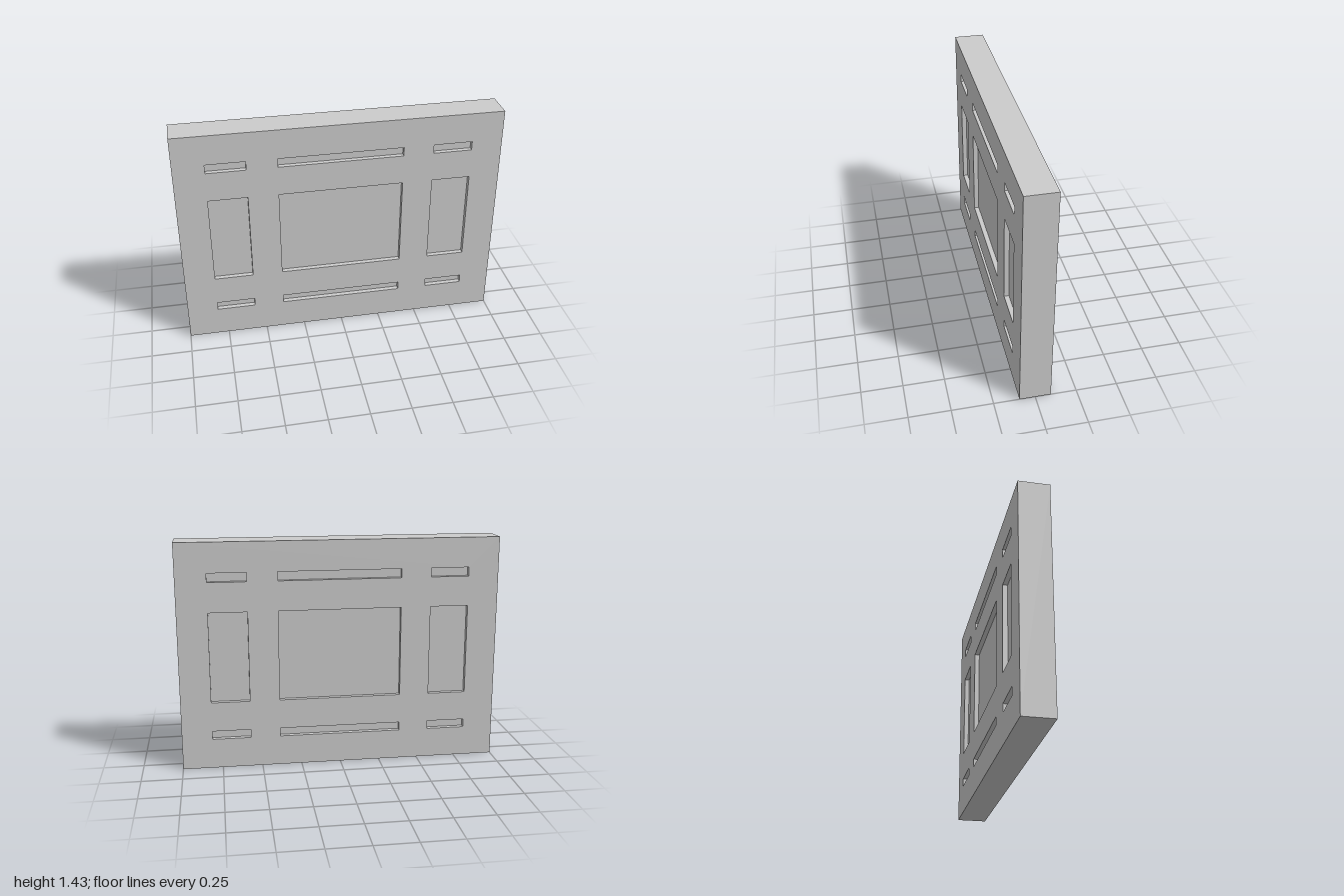
import * as THREE from 'three';

const W = 2, H = 1.43, T = 0.19; // slab size
const DEPTH = 0.03;              // recess depth on each face

// Recess columns [x0, x1] and rows [y0, y1]
const COLUMNS = [[-0.81, -0.57], [-0.383, 0.383], [0.57, 0.81]];
const ROWS = [
  { name: 'LowerSlot', y: [0.19, 0.243] },
  { name: 'Panel', y: [0.43, 1.0] },
  { name: 'UpperSlot', y: [1.187, 1.243] },
];
const COLUMN_NAMES = ['right', 'centre', 'left'];

function trace(path, x0, y0, x1, y1) {
  path.moveTo(x0, y0);
  path.lineTo(x1, y0);
  path.lineTo(x1, y1);
  path.lineTo(x0, y1);
  path.closePath();
  return path;
}

export function createModel() {
  const group = new THREE.Group();
  group.name = 'recessedSlab';
  const material = new THREE.MeshStandardMaterial({ color: 0xcccccc, flatShading: true });

  const outline = trace(new THREE.Shape(), -W / 2, 0, W / 2, H);

  COLUMNS.forEach(([x0, x1], i) => {
    ROWS.forEach(({ name, y: [y0, y1] }) => {
      // Opening through the frame
      outline.holes.push(trace(new THREE.Path(), x0, y0, x1, y1));

      // Thinner infill leaves a shallow recess on front and back
      const infill = new THREE.Mesh(
        new THREE.BoxGeometry(x1 - x0, y1 - y0, T - 2 * DEPTH), material);
      infill.position.set((x0 + x1) / 2, (y0 + y1) / 2, 0);
      infill.name = COLUMN_NAMES[i] + name;
      group.add(infill);
    });
  });

  // Frame around all the recesses
  const geometry = new THREE.ExtrudeGeometry(outline, { depth: T, bevelEnabled: false });
  geometry.translate(0, 0, -T / 2);
  const frame = new THREE.Mesh(geometry, material);
  frame.name = 'frame';
  group.add(frame);

  return group;
}
